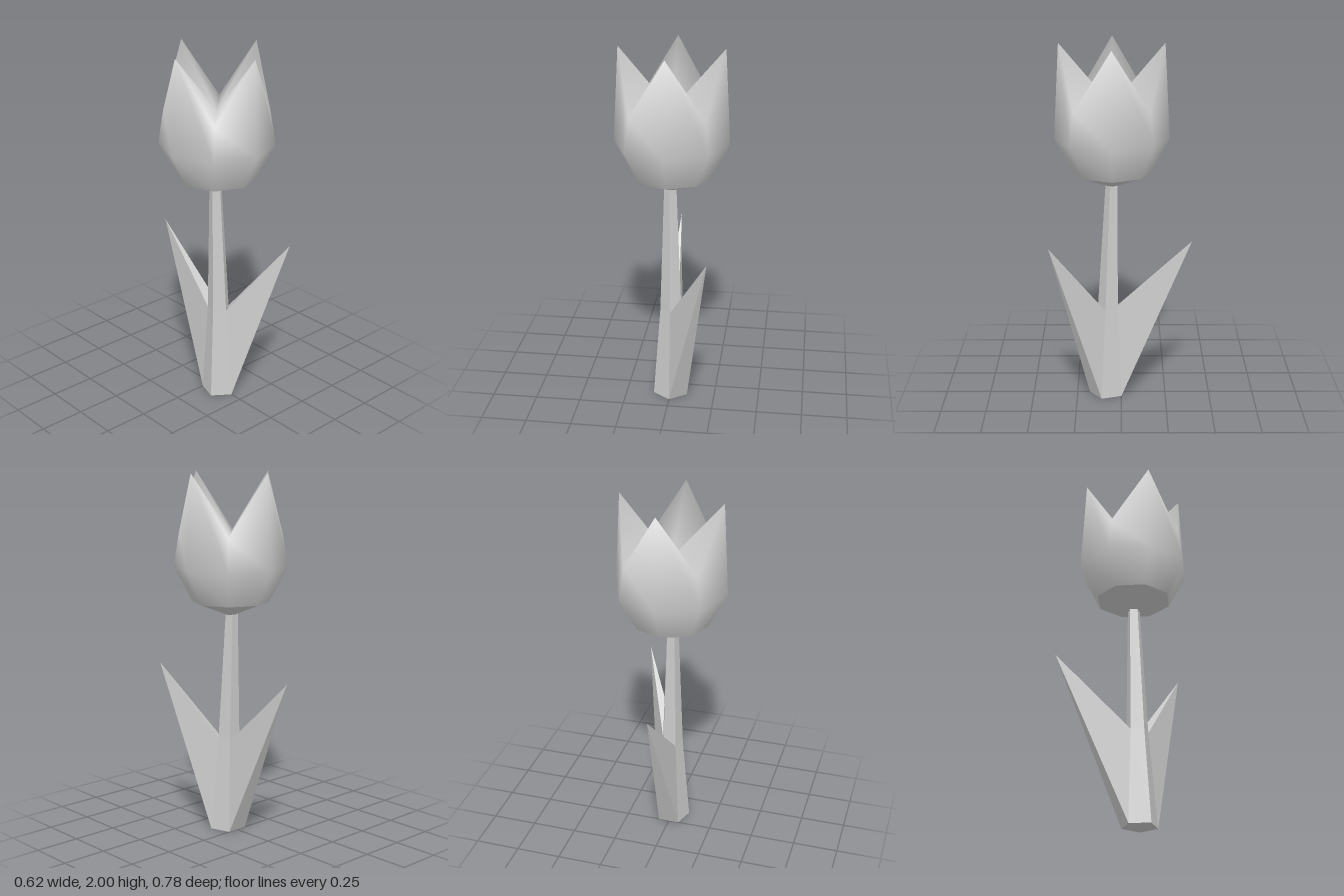
import * as THREE from 'three';

const smooth = new THREE.MeshStandardMaterial({ color: 0xcccccc });
const flat = new THREE.MeshStandardMaterial({ color: 0xcccccc, flatShading: true });

function mesh(name, points, faces, material) {
  const g = new THREE.BufferGeometry();
  g.setAttribute('position', new THREE.Float32BufferAttribute(points.flat(), 3));
  g.setIndex(faces.flat());
  const geometry = material === flat ? g.toNonIndexed() : g;
  geometry.computeVertexNormals();
  const m = new THREE.Mesh(geometry, material);
  m.name = name;
  return m;
}

// Horizontal polygon of n corners; the height may vary per corner
function ring(n, r, y, cx, cz, start = 0) {
  return Array.from({ length: n }, (_, i) => {
    const a = start + (i / n) * Math.PI * 2;
    return [cx + r * Math.cos(a), typeof y === 'function' ? y(i) : y, cz + r * Math.sin(a)];
  });
}

// Outward triangles joining stacked rings of n corners
function walls(n, rows) {
  const faces = [];
  for (let k = 0; k < rows - 1; k++) {
    for (let i = 0; i < n; i++) {
      const a = k * n + i, b = k * n + (i + 1) % n;
      faces.push([a, a + n, b + n], [a, b + n, b]);
    }
  }
  return faces;
}

export function createModel() {
  const group = new THREE.Group();

  // Blossom: eight-sided cup whose rim alternates petal tips and notches
  const n = 8, cz = 0.05;
  const cup = [
    ...ring(n, 0.21, 1.3, 0, cz),
    ...ring(n, 0.31, 1.49, 0, cz),
    ...ring(n, 0.281, (i) => (i % 2 ? 1.67 : 2), 0, cz),
    [0, 1.67, cz],
  ];
  const cupFaces = walls(n, 3);
  for (let i = 0; i < n; i++) cupFaces.push([24, 16 + (i + 1) % n, 16 + i]);
  group.add(mesh('petals', cup, cupFaces, smooth));

  // Shallow cone under the cup
  const under = [...ring(n, 0.03, 1.23, 0, cz), ...ring(n, 0.21, 1.3, 0, cz), [0, 1.23, cz]];
  const underFaces = walls(n, 2);
  for (let i = 0; i < n; i++) underFaces.push([16, i, (i + 1) % n]);
  group.add(mesh('blossomBase', under, underFaces, flat));

  // Five-sided tapering stem, one corner to the front
  const start = Math.PI / 2;
  const low = ring(5, 0.1, 0, 0, 0.08, start);
  const mid = ring(5, 0.062, 0.52, 0, 0.069, start);
  const top = ring(5, 0.035, 1.24, -0.006, 0.05, start);
  const stemFaces = walls(5, 3);
  for (let i = 0; i < 5; i++) stemFaces.push([15, i, (i + 1) % 5]);
  group.add(mesh('stem', [...low, ...mid, ...top, [0, 0, 0.08]], stemFaces, flat));

  // Each leaf grows from one side of the lower stem to a point
  const leaf = (name, side, tip) => {
    const j = (side + 1) % 5;
    // corners: low a, low b, mid b, mid a, tip
    group.add(mesh(name, [low[side], low[j], mid[j], mid[side], tip],
      [[0, 4, 1], [1, 4, 2], [2, 4, 3], [3, 4, 0]], flat));
  };
  leaf('frontLeaf', 4, [0.225, 0.94, 0.39]);
  leaf('backLeaf', 2, [0.003, 0.91, -0.39]);

  return group;
}
